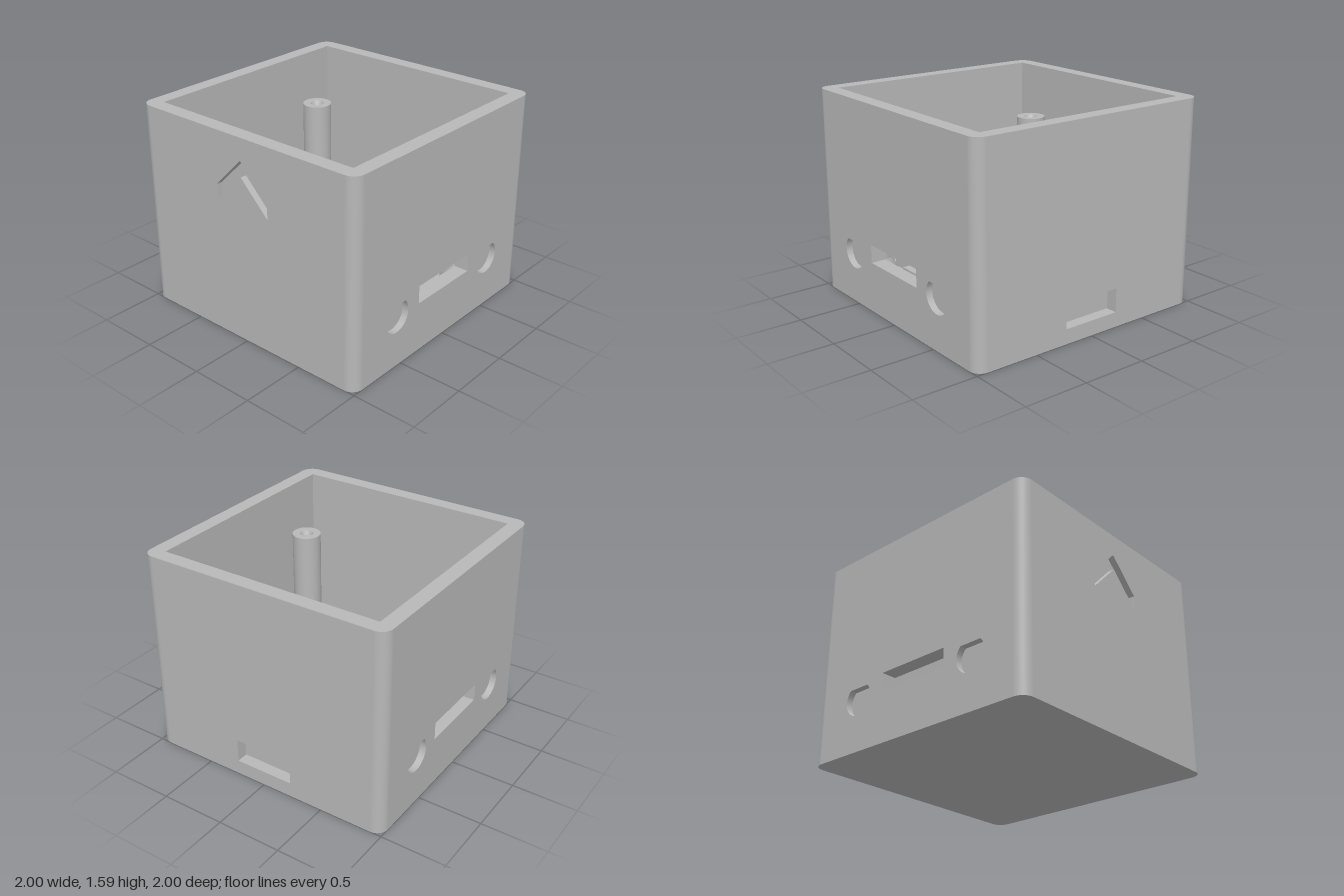
import * as THREE from 'three';
import { toCreasedNormals } from 'three/addons/utils/BufferGeometryUtils.js';

const H = 1.59, INNER = 0.885, R = 0.09, FLOOR = 0.11, PAD = 0.16;

export function createModel() {
  const model = new THREE.Group();
  model.name = 'enclosure';
  const grey = new THREE.MeshStandardMaterial({ color: 0xb8b8b8 });
  grey.name = 'grey plastic';

  const add = (name, geometry, parent = model) => {
    const mesh = new THREE.Mesh(geometry, grey);
    mesh.name = name;
    parent.add(mesh);
    return mesh;
  };
  const extrude = (shape, depth) => toCreasedNormals(
    new THREE.ExtrudeGeometry(shape, { depth, bevelEnabled: false, curveSegments: 32 }), 0.5);
  const box = (name, x0, x1, y0, y1, z0, z1) => add(name,
    new THREE.BoxGeometry(x1 - x0, y1 - y0, z1 - z0)
      .translate((x0 + x1) / 2, (y0 + y1) / 2, (z0 + z1) / 2));
  const polygon = (points) => new THREE.Path(points.map(([x, y]) => new THREE.Vector2(x, y)));
  const rect = (x0, x1, y0, y1) => polygon([[x0, y0], [x1, y0], [x1, y1], [x0, y1], [x0, y0]]);

  // Teardrop outline: round below, 45 degree point above
  const teardrop = (x) => {
    const path = new THREE.Path();
    path.moveTo(x, 0.4 + 0.125 * Math.SQRT2);
    path.absarc(x, 0.4, 0.125, Math.PI * 0.75, Math.PI * 2.25, false);
    path.closePath();
    return path;
  };

  // Each wall has an outer layer with recesses and an inner layer with through slots
  const layer = (name, holes, from, to, parent) => {
    const shape = new THREE.Shape([
      new THREE.Vector2(-1 + R, 0), new THREE.Vector2(1 - R, 0),
      new THREE.Vector2(1 - R, H), new THREE.Vector2(-1 + R, H)]);
    shape.holes.push(...holes);
    add(name, extrude(shape, to - from).translate(0, 0, from), parent);
  };
  const wall = (name, turn, depth, recesses, slots) => {
    const group = new THREE.Group();
    group.name = name;
    group.rotation.y = turn;
    layer(name + 'OuterLayer', [...recesses, ...slots], 1 - depth, 1, group);
    layer(name + 'InnerLayer', slots, INNER, 1 - depth, group);
    model.add(group);
  };
  const chevron = polygon([[-0.24, 1.06], [0, 1.3], [0.24, 1.06], [0.24, 1.18],
    [0, 1.42], [-0.24, 1.18], [-0.24, 1.06]]);
  wall('frontWall', 0, 0.05, [chevron], []);
  wall('backWall', Math.PI, 0.09, [rect(-0.235, 0.235, 0.115, 0.3)], []);
  for (const side of [1, -1]) {
    wall(side > 0 ? 'leftWall' : 'rightWall', side * Math.PI / 2, 0.05,
      [teardrop(-0.545), teardrop(0.545)], [rect(-0.3, 0.3, 0.39, 0.53)]);
  }

  // Rounded vertical corners
  for (let i = 0; i < 4; i++) {
    const corner = add('roundedCorner',
      new THREE.CylinderGeometry(R, R, H, 10, 1, false, 0, Math.PI / 2)
        .translate(1 - R, H / 2, 1 - R));
    corner.rotation.y = i * Math.PI / 2;
  }
  box('floor', -INNER, INNER, 0, FLOOR, -INNER, INNER);

  // Screw posts with flared feet and countersunk bores
  const post = toCreasedNormals(new THREE.LatheGeometry([
    [0.19, FLOOR], [0.115, 0.3], [0.115, 1.19], [0.055, 1.19],
    [0.036, 1.15], [0.036, 0.8], [0, 0.8]].map(([x, y]) => new THREE.Vector2(x, y)), 40), 0.35);
  for (const x of [-0.765, 0.765]) {
    for (const z of [-0.62, 0.62]) add('screwPost', post).position.set(x, 0, z);
  }

  // Round holder: raised disc with an open ring around it
  add('holderDisc', new THREE.CylinderGeometry(0.507, 0.507, PAD - FLOOR, 64))
    .position.set(-0.22, (PAD + FLOOR) / 2, 0);
  const outerGap = Math.asin(0.265 / 0.507), innerGap = Math.asin(0.265 / 0.44);
  const ring = new THREE.Shape();
  ring.absarc(0, 0, 0.507, -Math.PI + outerGap, Math.PI - outerGap, false);
  ring.absarc(0, 0, 0.44, Math.PI - innerGap, -Math.PI + innerGap, true);
  ring.closePath();
  add('holderRing', extrude(ring, 0.6 - PAD).rotateX(-Math.PI / 2)).position.set(-0.22, PAD, 0);

  // Low platforms with slotted brackets at both ends
  box('sidePlatform', 0.295, 0.555, FLOOR, PAD, -0.585, 0.585);
  box('frontPlatform', -0.515, 0.505, FLOOR, PAD, 0.595, 0.77);
  const bracket = (width, length, slotFrom, slotTo, slotEnd) => {
    const shape = new THREE.Shape([[0, 0], [slotFrom, 0], [slotFrom, slotEnd], [slotTo, slotEnd],
      [slotTo, 0], [width, 0], [width, length], [0, length]].map(([x, y]) => new THREE.Vector2(x, y)));
    return extrude(shape, 0.35 - PAD).rotateX(-Math.PI / 2);
  };
  const sideBracket = bracket(0.18, 0.15, 0.06, 0.125, 0.115);
  add('sideBracket', sideBracket).position.set(0.295, PAD, -0.435);
  const near = add('sideBracket', bracket(0.18, 0.15, 0.055, 0.12, 0.115));
  near.position.set(0.475, PAD, 0.43);
  near.rotation.y = Math.PI;
  const frontBracket = bracket(0.175, 0.145, 0.055, 0.115, 0.115);
  const leftEnd = add('frontBracket', frontBracket);
  leftEnd.position.set(0.36, PAD, 0.595);
  leftEnd.rotation.y = -Math.PI / 2;
  const rightEnd = add('frontBracket', frontBracket);
  rightEnd.position.set(-0.37, PAD, 0.77);
  rightEnd.rotation.y = Math.PI / 2;

  // Small stepped catch on the floor
  box('catchBase', -0.44, -0.385, FLOOR, 0.2, -0.62, -0.56);
  box('catchStep', -0.44, -0.385, FLOOR, 0.25, -0.66, -0.62);

  return model;
}
